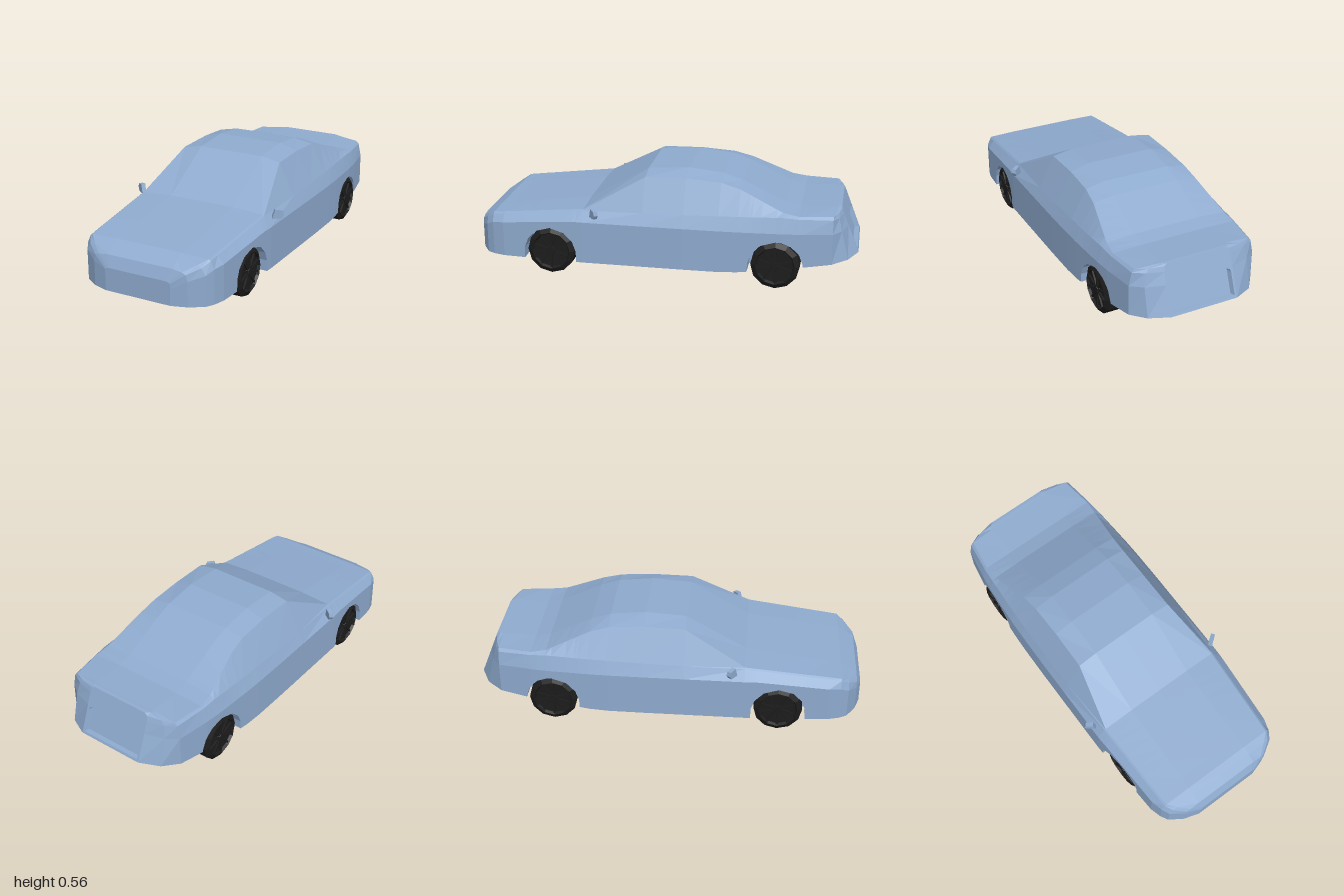
import * as THREE from 'three';

const paint = new THREE.MeshStandardMaterial({ color: 0x8fabcf, flatShading: true });
const black = new THREE.MeshStandardMaterial({ color: 0x1c1c1c, flatShading: true });
const AXLES = [0.575, -0.59];
const RADIUS = 0.125;

// Body stations, nose to tail: z, half width, belt x, belt y, roof edge x, roof edge y, crown y
const STATIONS = [
  [1.0, 0.18, 0.18, 0.19, 0.175, 0.195, 0.2],
  [0.975, 0.26, 0.25, 0.24, 0.23, 0.25, 0.257],
  [0.93, 0.33, 0.31, 0.27, 0.285, 0.28, 0.284],
  [0.89, 0.353, 0.335, 0.295, 0.325, 0.303, 0.306],
  [0.83, 0.37, 0.338, 0.303, 0.328, 0.31, 0.313],
  [0.4, 0.395, 0.355, 0.352, 0.347, 0.358, 0.368],
  [0.09, 0.395, 0.366, 0.36, 0.283, 0.527, 0.546],
  [-0.12, 0.395, 0.366, 0.365, 0.28, 0.532, 0.56],
  [-0.3, 0.393, 0.364, 0.37, 0.282, 0.52, 0.541],
  [-0.4, 0.39, 0.362, 0.372, 0.29, 0.493, 0.508],
  [-0.62, 0.377, 0.352, 0.378, 0.328, 0.396, 0.405],
  [-0.7, 0.368, 0.347, 0.372, 0.335, 0.383, 0.388],
  [-0.87, 0.34, 0.325, 0.37, 0.31, 0.385, 0.394],
  [-0.95, 0.28, 0.268, 0.365, 0.25, 0.383, 0.395],
  [-1.0, 0.18, 0.18, 0.36, 0.175, 0.385, 0.394],
];

function stationAt(z) {
  let i = 0;
  while (i < STATIONS.length - 2 && z < STATIONS[i + 1][0]) i++;
  const [p, q] = [STATIONS[i], STATIONS[i + 1]];
  const t = (z - p[0]) / (q[0] - p[0]);
  return p.map((v, k) => v + (q[k] - v) * t);
}

// Height of the wheel arch opening, or 0 away from the wheels
function archHeight(z) {
  for (const c of AXLES) {
    const d = Math.abs(z - c);
    if (d < 0.14) return 0.115 + Math.sqrt(0.14 * 0.14 - d * d);
  }
  return 0;
}

// Closed cross-section, counterclockwise seen from the front
function section(z) {
  const [, w, bx, by, rx, ry, cy] = stationAt(z);
  const floor = 0.08 + Math.max(0, -0.36 - z) * 0.118;   // rises under the tail
  const crease = Math.min(0.3, by * 0.87);
  const slant = 0.095 * Math.max(0, -0.87 - z) / 0.13;   // tail leans forward
  const inner = Math.min(0.27, w);
  const sill = Math.max(floor, archHeight(z));
  const half = [[0, floor], [inner, floor], [inner, sill], [w, sill], [w, Math.max(crease, sill)],
    [bx, by], [rx, ry], [Math.min(0.18, rx * 0.9), cy], [0, cy]];
  const ring = [...half, ...half.slice(1, -1).reverse().map(([x, y]) => [-x, y])];
  return ring.map(([x, y]) => [x, y, z + slant * (y - floor) / 0.24]);
}

function createBody() {
  const cuts = STATIONS.map((s) => s[0]);
  for (const c of AXLES) {
    for (const d of [0.1401, 0.138, 0.12, 0.075]) cuts.push(c + d, c - d);
    cuts.push(c);
  }
  const rings = cuts.sort((a, b) => b - a).map(section);

  // Number plate recess sunk into the sloping tail
  const frame = rings[rings.length - 1].map(([x, y]) => {
    const h = 0.168 + (y - 0.155) * 0.54;
    return [x * 0.94, h, -1 + 0.095 * (h - 0.155) / 0.24];
  });
  rings.push(frame, frame.map(([x, y, z]) => [x * 0.95, y, z + 0.025]));

  const n = rings[0].length;
  const index = [];
  for (let j = 0; j < rings.length - 1; j++) {
    for (let i = 0; i < n; i++) {
      const k = (i + 1) % n;
      const a = j * n + i, b = a + n, c = (j + 1) * n + k, d = j * n + k;
      index.push(a, b, c, a, c, d);
    }
  }
  // Nose and tail caps
  const last = (rings.length - 1) * n;
  for (let i = 1; i < n - 1; i++) {
    index.push(0, i, i + 1, last, last + i + 1, last + i);
  }
  const geometry = new THREE.BufferGeometry();
  geometry.setAttribute('position', new THREE.Float32BufferAttribute(rings.flat(2), 3));
  geometry.setIndex(index);
  geometry.computeVertexNormals();
  const body = new THREE.Mesh(geometry, paint);
  body.name = 'body';
  return body;
}

function createWheel() {
  const wheel = new THREE.Group();
  // Tyre with bevelled shoulder and dished rim, axis along x
  const profile = [[0, -0.045], [RADIUS, -0.045], [RADIUS, 0.035], [0.1, 0.05], [0.092, 0.036], [0, 0.032]]
    .map(([r, y]) => new THREE.Vector2(r, y));
  const tyre = new THREE.Mesh(new THREE.LatheGeometry(profile, 12), black);
  tyre.rotation.z = -Math.PI / 2;
  tyre.name = 'tyre';
  wheel.add(tyre);

  const hub = new THREE.Mesh(new THREE.CylinderGeometry(0.02, 0.024, 0.014, 10), black);
  hub.rotation.z = -Math.PI / 2;
  hub.position.x = 0.04;
  hub.name = 'hub';
  wheel.add(hub);

  for (let i = 0; i < 10; i++) {
    const geometry = new THREE.BoxGeometry(0.01, 0.075, 0.011).translate(0.039, 0.055, 0);
    const spoke = new THREE.Mesh(geometry, black);
    spoke.rotation.x = (i / 10) * Math.PI * 2;
    spoke.name = 'spoke';
    wheel.add(spoke);
  }
  return wheel;
}

// Door mirror: small housing angled out from the windscreen pillar
function createMirror(side) {
  const outline = [[0, 0], [0.048, 0], [0.06, 0.02], [0.054, 0.041], [0.015, 0.047]]
    .map(([x, y]) => new THREE.Vector2(x * side, y));
  const geometry = new THREE.ExtrudeGeometry(new THREE.Shape(outline), { depth: 0.022, bevelEnabled: false });
  const mirror = new THREE.Mesh(geometry, paint);
  mirror.position.set(0.368 * side, 0.33, 0.345);
  mirror.rotation.y = 0.65 * side;
  mirror.name = side > 0 ? 'leftMirror' : 'rightMirror';
  return mirror;
}

export function createModel() {
  const car = new THREE.Group();
  car.name = 'car';
  car.add(createBody());
  for (const side of [1, -1]) {
    car.add(createMirror(side));
    AXLES.forEach((z, i) => {
      const wheel = createWheel();
      wheel.position.set(0.326 * side, RADIUS, z);
      if (side < 0) wheel.rotation.y = Math.PI;
      wheel.name = (i ? 'rear' : 'front') + (side > 0 ? 'Left' : 'Right') + 'Wheel';
      car.add(wheel);
    });
  }
  return car;
}
